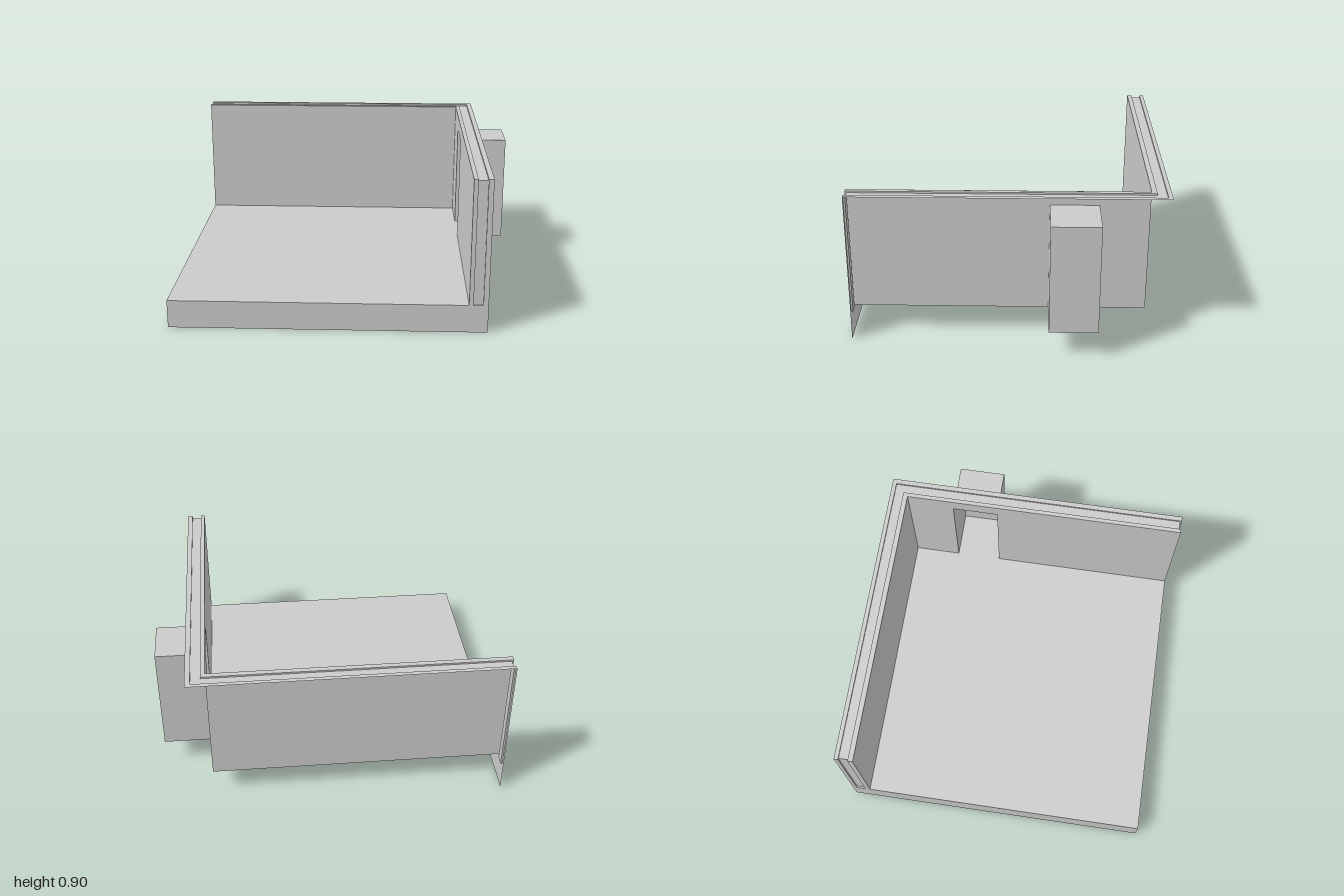
import * as THREE from 'three';

const material = new THREE.MeshStandardMaterial({ color: 0xcccccc, side: THREE.DoubleSide });

// Main levels: floor and wall top, then the inner wall faces and the outer limits
const FLOOR = 0.165, TOP = 0.905, LEFT = -1, FRONT = 0.91, DEPTH = 0.01;
const X = { wall: 0.71, grooveIn: 0.735, grooveOut: 0.79, outer: 0.82 };
const Z = { wall: -0.80, grooveIn: -0.83, grooveOut: -0.885, outer: -0.91 };
const NICHE = { back: 1, z0: -0.515, z1: -0.235, top: 0.82 };

// Place a flat outline in one of the three main planes
const onX = (x) => (z, y) => [x, y, z];
const onY = (y) => (x, z) => [x, y, z];
const onZ = (z) => (x, y) => [x, y, z];

function panel(name, place, outline) {
  const shape = new THREE.Shape(outline.map(([a, b]) => new THREE.Vector2(a, b)));
  const geo = new THREE.ShapeGeometry(shape);
  const pos = geo.attributes.position;
  for (let i = 0; i < pos.count; i++) pos.setXYZ(i, ...place(pos.getX(i), pos.getY(i)));
  geo.computeVertexNormals();
  const mesh = new THREE.Mesh(geo, material);
  mesh.name = name;
  return mesh;
}

const rect = (a0, b0, a1, b1) => [[a0, b0], [a1, b0], [a1, b1], [a0, b1]];

// Skirt along the floor edge with the slotted wall end standing on it
const endOutline = (start, s) => [
  [start, 0], [s.outer, 0], [s.outer, TOP], [s.grooveOut, TOP], [s.grooveOut, FLOOR],
  [s.grooveIn, FLOOR], [s.grooveIn, TOP], [s.wall, TOP], [s.wall, FLOOR], [start, FLOOR],
];

// L-shaped strip of the wall top between two offsets
const rimOutline = (inner, outer) => [
  [LEFT, Z[outer]], [X[outer], Z[outer]], [X[outer], FRONT],
  [X[inner], FRONT], [X[inner], Z[inner]], [LEFT, Z[inner]],
];

// Path up the front wall end, around the wall top and down the left end
function groovePath(side, d) {
  const x = X[side], z = Z[side];
  return [
    [x, FLOOR, FRONT], [x, FLOOR, FRONT - d], [x, TOP - d, FRONT - d], [x, TOP - d, z],
    [LEFT + d, TOP - d, z], [LEFT + d, FLOOR, z], [LEFT, FLOOR, z],
  ];
}

// Shallow channel joining the surface and sunken paths
function groove() {
  const paths = [
    groovePath('grooveIn', 0), groovePath('grooveIn', DEPTH),
    groovePath('grooveOut', DEPTH), groovePath('grooveOut', 0),
  ];
  const verts = [];
  for (let p = 0; p < paths.length - 1; p++) {
    for (let i = 0; i < paths[p].length - 1; i++) {
      const a = paths[p][i], b = paths[p + 1][i], c = paths[p + 1][i + 1], d = paths[p][i + 1];
      verts.push(...a, ...b, ...c, ...a, ...c, ...d);
    }
  }
  const geo = new THREE.BufferGeometry();
  geo.setAttribute('position', new THREE.Float32BufferAttribute(verts, 3));
  geo.computeVertexNormals();
  const mesh = new THREE.Mesh(geo, material);
  mesh.name = 'wallGroove';
  return mesh;
}

export function createModel() {
  const model = new THREE.Group();
  model.name = 'roomCorner';

  // Floor, skirts and slotted wall ends
  model.add(
    panel('floor', onY(FLOOR), rect(LEFT, Z.wall, X.wall, FRONT)),
    panel('frontSkirt', onZ(FRONT), endOutline(LEFT, X)),
    panel('sideSkirt', onX(LEFT), endOutline(FRONT, Z)),
  );

  // Walls; the side wall is open to the niche
  model.add(
    panel('backWall', onZ(Z.wall), rect(LEFT, FLOOR, X.wall, TOP)),
    panel('sideWall', onX(X.wall), [
      [Z.wall, FLOOR], [NICHE.z0, FLOOR], [NICHE.z0, NICHE.top], [NICHE.z1, NICHE.top],
      [NICHE.z1, FLOOR], [FRONT, FLOOR], [FRONT, TOP], [Z.wall, TOP],
    ]),
  );

  // Wall top with its channel
  model.add(
    panel('innerRim', onY(TOP), rimOutline('wall', 'grooveIn')),
    panel('outerRim', onY(TOP), rimOutline('grooveOut', 'outer')),
    groove(),
  );

  // Niche projecting from the side wall
  const niche = new THREE.Group();
  niche.name = 'niche';
  for (const [name, z] of [['nicheRearSide', NICHE.z0], ['nicheFrontSide', NICHE.z1]]) {
    niche.add(panel(name, onZ(z), rect(X.wall, FLOOR, NICHE.back, NICHE.top)));
  }
  for (const [name, y] of [['nicheFloor', FLOOR], ['nicheTop', NICHE.top]]) {
    niche.add(panel(name, onY(y), rect(X.wall, NICHE.z0, NICHE.back, NICHE.z1)));
  }
  niche.add(panel('nicheBack', onX(NICHE.back), rect(NICHE.z0, FLOOR, NICHE.z1, NICHE.top)));
  model.add(niche);

  return model;
}
